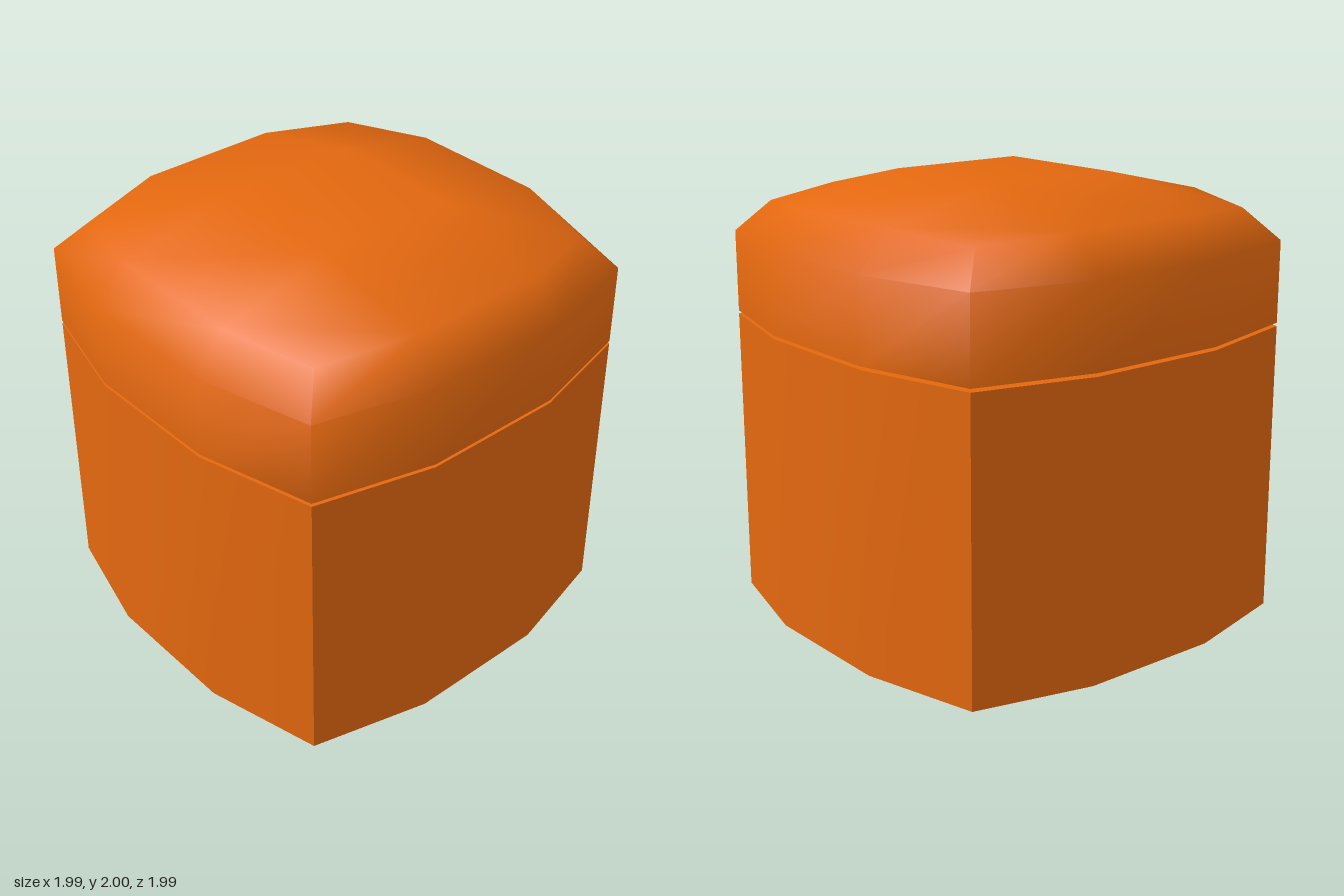
import * as THREE from 'three';
import { toCreasedNormals } from 'three/addons/utils/BufferGeometryUtils.js';

// Box with 3 x 3 cells per face whose vertices are bulged into a rounded square;
// with a domed top the uppermost row also bends inwards.
function bulgedBox(bottom, top, scale, domed, crease) {
  const geometry = new THREE.BoxGeometry(2, 2, 2, 3, domed ? 2 : 1, 3);
  const p = geometry.attributes.position;
  for (let i = 0; i < p.count; i++) {
    const x = p.getX(i), y = p.getY(i), z = p.getZ(i);
    const outerX = Math.abs(x) > 0.9, outerZ = Math.abs(z) > 0.9;
    const corner = outerX && outerZ;
    const dome = domed && y > 0.9;
    const reach = dome ? (corner ? 0.74 : 0.86) : (corner ? 0.86 : 0.995);
    let height = y < -0.9 ? bottom : top;
    if (domed && y > -0.9) height = 1.71;
    if (dome) height = corner ? 1.85 : outerX || outerZ ? 1.88 : top;
    p.setXYZ(i,
      Math.sign(x) * (outerX ? reach : 0.33) * scale,
      height,
      Math.sign(z) * (outerZ ? reach : 0.33) * scale);
  }
  return toCreasedNormals(geometry, crease);
}

export function createModel() {
  const model = new THREE.Group();
  model.name = 'liddedBox';
  const orange = new THREE.MeshStandardMaterial({ color: 0xe4680f });
  const grey = new THREE.MeshStandardMaterial({ color: 0xcccccc });

  const add = (name, geometry, material) => {
    const mesh = new THREE.Mesh(geometry, material);
    mesh.name = name;
    model.add(mesh);
  };

  // Body: bowed sides meeting in sharp corners
  add('body', bulgedBox(0, 1.325, 1, false, 0.6), orange);
  // Neck: bridges the narrow gap under the lid
  add('neck', bulgedBox(1.32, 1.345, 0.665, false, 0.6), grey);
  // Lid: softly domed, smooth around its corners
  add('lid', bulgedBox(1.34, 2, 1, true, 1.2), orange);

  return model;
}
